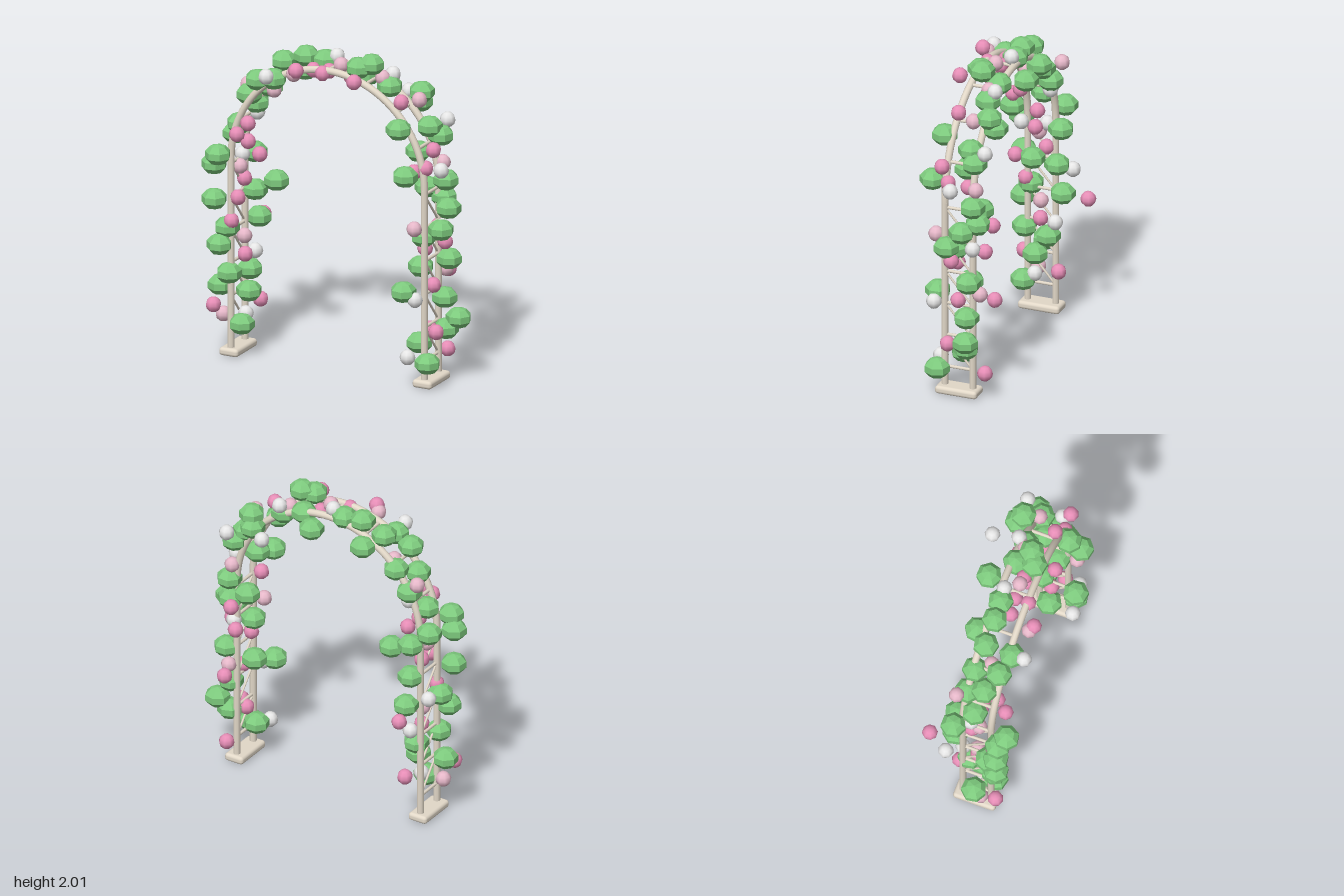
import * as THREE from 'three';
import { RoundedBoxGeometry } from 'three/addons/geometries/RoundedBoxGeometry.js';

const mat = (name, color, flatShading = false) => {
  const m = new THREE.MeshStandardMaterial({ color, flatShading });
  m.name = name;
  return m;
};

// frame layout
const CX = -0.018, HALF = 0.65, SPRING = 1.24, Z_FRONT = 0.12, Z_BACK = -0.06;

// plant positions [x, y, z]
const leftLeaves = [
  [-.595, .21, .12], [-.775, .41, .05], [-.59, .395, .04], [-.67, .525, .14], [-.62, .51, -.03],
  [-.72, .705, .17], [-.70, .80, .11], [-.61, .81, -.13], [-.75, .99, .18], [-.615, .99, -.09],
  [-.43, 1.10, -.01], [-.745, 1.215, .19], [-.63, 1.22, -.11], [-.75, 1.325, -.09], [-.70, 1.29, .23],
  [-.665, 1.43, .015], [-.585, 1.635, .045], [-.59, 1.55, -.06],
];
const archLeaves = [
  [-.495, 1.755, .105], [-.49, 1.67, -.05], [-.37, 1.79, .14], [-.385, 1.855, -.02], [-.235, 1.91, -.02],
  [-.29, 1.79, -.11], [-.11, 1.90, -.03], [.04, 1.835, -.16], [.17, 1.85, -.04], [.17, 1.925, .08],
  [.235, 1.945, .04], [.32, 1.80, -.03], [.495, 1.77, -.11], [.47, 1.70, -.14], [.49, 1.615, .18],
];
const rightLeaves = [
  [.59, 1.59, -.03], [.64, 1.53, -.075], [.535, 1.44, .015], [.56, 1.345, .23], [.675, 1.255, -.075],
  [.545, 1.19, -.08], [.72, 1.10, -.02], [.65, 1.14, -.10], [.72, .99, .075], [.60, .93, .07],
  [.705, .77, -.06], [.54, .71, -.01], [.535, .61, .205], [.685, .53, -.04], [.765, .405, -.065],
  [.695, .335, -.04], [.55, .245, .03], [.67, .165, .155],
];
const pinkFlowers = [
  [-.755, .325, .18], [-.59, .30, -.11], [-.625, .615, .02], [-.66, .85, .13], [-.595, 1.02, .17],
  [-.645, 1.08, -.01], [-.53, 1.255, .015], [-.60, 1.33, .03], [-.595, 1.42, .185], [-.555, 1.475, .12],
  [-.655, .78, -.275], [-.185, 1.89, .21], [-.05, 1.87, .125], [.20, 1.875, .20], [.10, 1.845, .04],
  [-.15, 1.855, .05], [-.05, 1.86, .04], [.465, 1.76, .10], [.69, 1.50, .115], [.63, 1.37, .10],
  [.69, .345, .08], [.615, .34, .02], [.645, .62, .03], [.63, .655, -.20], [.65, .17, -.145],
  [.51, 1.305, .02], [.60, .85, .05], [.73, .91, .04], [.60, 1.125, -.175], [.60, .945, -.125],
];
const paleFlowers = [
  [-.74, .24, .08], [-.67, 1.64, -.10], [-.425, 1.68, .03], [-.21, 1.86, .19], [.03, 1.91, .04],
  [.525, 1.75, -.02], [.60, 1.01, .19], [.655, .685, -.115], [.65, 1.36, -.085], [-.65, 1.17, .04],
  [-.63, .73, .02], [.28, 1.85, -.02],
];
const whiteFlowers = [
  [-.77, .90, -.13], [-.38, 1.825, .22], [-.035, 1.935, -.035], [.32, 1.865, -.075], [.335, 1.71, -.25],
  [.65, 1.61, -.145], [.71, 1.355, .055], [.55, .195, .18], [.61, .57, .20], [-.66, 1.23, -.01],
  [-.585, 1.49, -.06], [-.61, .61, -.08], [.65, .97, -.065], [-.605, .255, .05],
];

export function createModel() {
  const model = new THREE.Group();
  model.name = 'gardenArch';
  const wood = mat('paintedFrame', 0xe2d8c8);
  const leaf = mat('leafGreen', 0x7ecb7e, true);
  const pink = mat('flowerPink', 0xe88fb8);
  const pale = mat('flowerPalePink', 0xf0c0d2);
  const white = mat('flowerWhite', 0xf2f2f2);

  const add = (parent, name, geometry, material) => {
    const mesh = new THREE.Mesh(geometry, material);
    mesh.name = name;
    parent.add(mesh);
    return mesh;
  };
  // round bar between two points
  const bar = (parent, name, a, b, r) => {
    const from = new THREE.Vector3(...a), dir = new THREE.Vector3(...b).sub(from);
    const mesh = add(parent, name, new THREE.CylinderGeometry(r, r, dir.length(), 8), wood);
    mesh.position.copy(from).addScaledVector(dir, 0.5);
    mesh.quaternion.setFromUnitVectors(new THREE.Vector3(0, 1, 0), dir.normalize());
  };

  const frame = new THREE.Group();
  frame.name = 'frame';
  model.add(frame);

  // two hoops: posts joined by a half circle
  for (const z of [Z_FRONT, Z_BACK]) {
    const side = z === Z_FRONT ? 'front' : 'back';
    for (const s of [-1, 1]) {
      bar(frame, side + 'Post', [CX + s * HALF, 0.004, z], [CX + s * HALF, SPRING, z], 0.022);
    }
    const hoop = add(frame, side + 'Hoop', new THREE.TorusGeometry(HALF, 0.022, 10, 48, Math.PI), wood);
    hoop.position.set(CX, SPRING, z);
  }

  // feet, ladder rungs and diagonal braces on each side
  for (const s of [-1, 1]) {
    const x = CX + s * HALF;
    const foot = add(frame, 'foot', new RoundedBoxGeometry(0.128, 0.05, 0.268, 3, 0.02), wood);
    foot.position.set(x, 0.028, 0.03);
    const bay = 0.208;
    for (let i = 0; i < 6; i++) {
      const y = 0.17 + i * bay;
      bar(frame, 'rung', [x, y, Z_BACK], [x, y, Z_FRONT], 0.01);
      if (i < 5) bar(frame, 'brace', [x, y, Z_BACK], [x, y + bay, Z_FRONT], 0.007);
    }
  }

  // rungs over the arch
  for (let i = 1; i < 8; i++) {
    const a = (i * Math.PI) / 8;
    const x = CX + HALF * Math.cos(a), y = SPRING + HALF * Math.sin(a);
    bar(frame, 'archRung', [x, y, Z_BACK], [x, y, Z_FRONT], 0.011);
  }

  // leaf clumps and flowers
  const leafGeometry = new THREE.SphereGeometry(0.081, 7, 5).scale(1, 0.8, 1);
  const flowerGeometry = new THREE.SphereGeometry(0.048, 8, 6);
  const plant = (name, points, geometry, material) => {
    const group = new THREE.Group();
    group.name = name + 's';
    points.forEach((p, i) => {
      const mesh = add(group, name, geometry, material);
      mesh.position.set(...p);
      mesh.rotation.y = i * 2.4;
    });
    model.add(group);
  };
  plant('leftLeafClump', leftLeaves, leafGeometry, leaf);
  plant('archLeafClump', archLeaves, leafGeometry, leaf);
  plant('rightLeafClump', rightLeaves, leafGeometry, leaf);
  plant('pinkFlower', pinkFlowers, flowerGeometry, pink);
  plant('palePinkFlower', paleFlowers, flowerGeometry, pale);
  plant('whiteFlower', whiteFlowers, flowerGeometry, white);

  return model;
}
